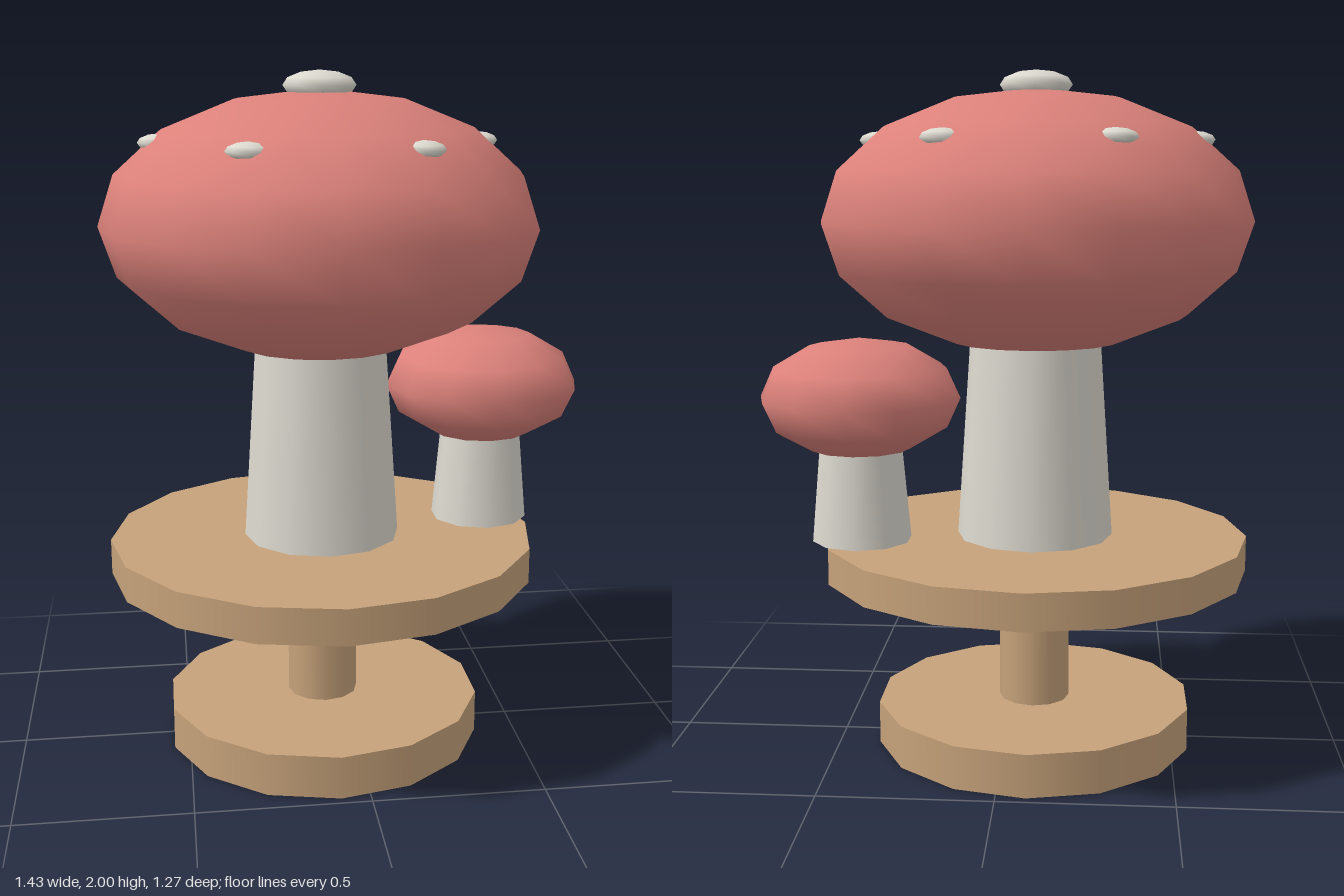
import * as THREE from 'three';

export function createModel() {
  const model = new THREE.Group();
  model.name = 'mushroomStand';

  const material = (name, color) => {
    const m = new THREE.MeshStandardMaterial({ color });
    m.name = name;
    return m;
  };
  const wood = material('wood', 0xc6a27a);
  const cream = material('cream', 0xdcd9cf);
  const red = material('capRed', 0xdb817a);

  const add = (parent, name, geometry, mat, x, y, z) => {
    const mesh = new THREE.Mesh(geometry, mat);
    mesh.name = name;
    mesh.position.set(x, y, z);
    parent.add(mesh);
    return mesh;
  };
  // Upright round part between two heights
  const column = (parent, name, mat, rTop, rBottom, y0, y1, sides, x = 0, z = 0) =>
    add(parent, name, new THREE.CylinderGeometry(rTop, rBottom, y1 - y0, sides), mat, x, (y0 + y1) / 2, z);
  // Flattened sphere
  const dome = (parent, name, mat, r, squash, sides, rings, x, y, z) =>
    add(parent, name, new THREE.SphereGeometry(r, sides, rings).scale(1, squash, 1), mat, x, y, z);

  // Wooden stand
  const stand = new THREE.Group();
  stand.name = 'stand';
  stand.position.x = -0.085;
  column(stand, 'base', wood, 0.475, 0.475, 0, 0.127, 14);
  column(stand, 'post', wood, 0.105, 0.105, 0.127, 0.532, 12);
  column(stand, 'platform', wood, 0.633, 0.633, 0.532, 0.637, 16);
  model.add(stand);

  // Large mushroom
  const large = new THREE.Group();
  large.name = 'largeMushroom';
  large.position.x = -0.085;
  column(large, 'largeStem', cream, 0.19, 0.232, 0.637, 1.27, 12);
  dome(large, 'largeCap', red, 0.633, 0.6, 16, 8, 0, 1.57, 0);
  dome(large, 'topSpot', cream, 0.105, 0.4, 8, 6, 0, 1.958, 0);
  for (let i = 0; i < 6; i++) {
    const a = (i * Math.PI) / 3;
    dome(large, 'sideSpot', cream, 0.064, 0.4, 8, 6, 0.45 * Math.cos(a), 1.802, 0.45 * Math.sin(a));
  }
  model.add(large);

  // Small mushroom at the platform's edge
  const small = new THREE.Group();
  small.name = 'smallMushroom';
  small.position.set(0.422, 0, -0.106);
  column(small, 'smallStem', cream, 0.118, 0.147, 0.637, 0.96, 10);
  dome(small, 'smallCap', red, 0.295, 0.59, 12, 6, 0, 1.063, 0);
  model.add(small);

  return model;
}
